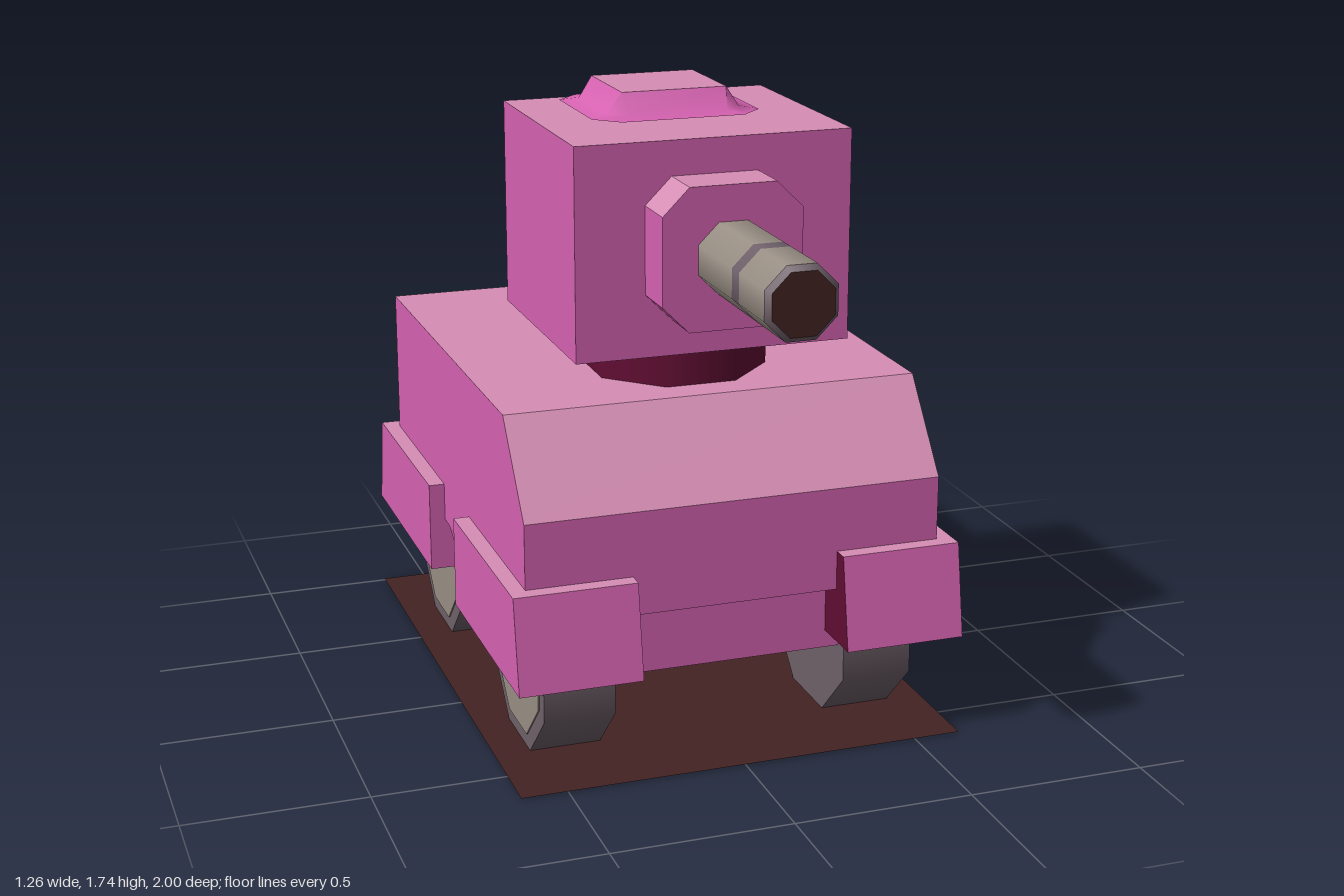
import * as THREE from 'three';

const mat = (name, color) => Object.assign(new THREE.MeshStandardMaterial({ color }), { name });

export function createModel() {
  const root = new THREE.Group();
  root.name = 'toyTank';
  const pink = mat('pink', 0xd662b1), light = mat('lightPink', 0xd78eb5);
  const maroon = mat('maroon', 0x620d33), grey = mat('warmGrey', 0x998f85);
  const dark = mat('darkGrey', 0x70616a), brown = mat('darkBrown', 0x442323);
  brown.side = THREE.DoubleSide;

  const add = (name, geo, material, x = 0, y = 0, z = 0, parent = root) => {
    const m = new THREE.Mesh(geo, material);
    m.name = name;
    m.position.set(x, y, z);
    parent.add(m);
    return m;
  };

  // Assigns one material per triangle according to its facing direction
  const armour = [light, pink, maroon];
  const byHeight = n => (n.y > 0.5 ? 0 : n.y < -0.9 ? 2 : 1);
  const paint = (geo, rule = byHeight) => {
    const g = geo.index ? geo.toNonIndexed() : geo;
    g.clearGroups();
    const p = g.attributes.position, n = new THREE.Vector3();
    const t = new THREE.Triangle();
    for (let i = 0; i < p.count; i += 3) {
      t.setFromAttributeAndIndices(p, i, i + 1, i + 2);
      g.addGroup(i, 3, rule(t.getNormal(n)));
    }
    return g;
  };

  // Prism extruded from a 2D outline, centred on its depth
  const prism = (pts, depth) => {
    const shape = new THREE.Shape(pts.map(p => new THREE.Vector2(...p)));
    return new THREE.ExtrudeGeometry(shape, { depth, bevelEnabled: false }).translate(0, 0, -depth / 2);
  };
  // Eight-sided cylinder with flats facing the axes; sizes are to the flats
  const oct = (top, bottom, h, open = false) => {
    const k = 1 / Math.cos(Math.PI / 8);
    return new THREE.CylinderGeometry(top * k, bottom * k, h, 8, 1, open, Math.PI / 8);
  };
  const box = (w, h, d) => new THREE.BoxGeometry(w, h, d);
  const quads = list => {
    const g = new THREE.BufferGeometry();
    const v = list.flatMap(([a, b, c, d]) => [a, b, c, a, c, d]).flat();
    g.setAttribute('position', new THREE.Float32BufferAttribute(v, 3));
    g.computeVertexNormals();
    return g;
  };

  // Base sheet
  add('base', new THREE.PlaneGeometry(1.26, 1.645).rotateX(-Math.PI / 2), brown, 0, 0.004, -0.178);

  // Hull with sloped nose, and recessed chassis blocks below
  const hull = prism([[0.555, 0.44], [0.555, 0.73], [0.365, 0.97], [-0.9, 0.97], [-0.9, 0.44]], 1.17);
  add('hull', paint(hull.rotateY(-Math.PI / 2)), armour);
  for (const z of [0.25, -0.6]) {
    add('chassis', paint(box(0.66, 0.2, 0.46)), armour, 0, 0.34, z);
    add('axle', oct(0.03, 0.03, 0.8).rotateZ(Math.PI / 2), dark, 0, 0.215, z);
    add('axleHousing', oct(0.05, 0.05, 0.39).rotateZ(Math.PI / 2), dark, 0, 0.2, z);
  }
  add('driveShaft', oct(0.03, 0.03, 0.85).rotateX(Math.PI / 2), dark, 0, 0.215, -0.175);

  // Tapered cross plate under the middle
  const cross = prism([[-0.5, 0.1], [0.5, 0.1], [0.585, 0.44], [-0.585, 0.44]], 0.195);
  add('crossPlate', paint(cross, n => (Math.abs(n.x) > 0.5 ? 1 : 2)), armour, 0, 0, -0.172);

  // Hollow fenders, open at the bottom, with maroon linings
  const fender = (s, z0, z1, z2) => {
    const flip = s * (z1 - z0) < 0;
    const a = 0.29 * s, b = 0.63 * s, lo = 0.29, hi = 0.55;
    const shell = [
      [[a, hi, z1], [b, hi, z1], [b, hi, z0], [a, hi, z0]],
      [[b, lo, z2], [b, lo, z0], [b, hi, z0], [b, hi, z1]],
      [[a, lo, z2], [b, lo, z2], [b, hi, z1], [a, hi, z1]],
      [[b, lo, z0], [a, lo, z0], [a, hi, z0], [b, hi, z0]],
      [[a, lo, z0], [a, lo, z2], [a, hi, z1], [a, hi, z0]],
    ];
    const turn = (list, yes) => (yes ? list.map(q => [...q].reverse()) : list);
    add('fender', paint(quads(turn(shell.slice(0, 4), flip))), armour);
    add('fenderInnerWall', quads(turn(shell.slice(4), flip)), maroon);
    add('fenderLining', quads(turn(shell, !flip)), maroon);
  };

  for (const s of [-1, 1]) {
    fender(s, -0.03, 0.6, 0.645);
    fender(s, -0.32, -0.95, -1);
    // Wheels
    for (const z of [0.265, -0.613]) {
      const wheel = new THREE.Group();
      wheel.name = 'wheel';
      wheel.position.set(0.43 * s, 0.256, z);
      root.add(wheel);
      add('tyre', oct(0.256, 0.256, 0.2).rotateZ(Math.PI / 2), dark, 0, 0, 0, wheel);
      add('wheelDisc', oct(0.212, 0.212, 0.008).rotateZ(Math.PI / 2), grey, 0.1 * s, 0, 0, wheel);
      add('hub', new THREE.CylinderGeometry(0.075, 0.075, 0.009, 16).rotateZ(Math.PI / 2), dark, 0.103 * s, 0, 0, wheel);
    }
  }

  // Turret and its ring
  add('turretRing', oct(0.24, 0.24, 0.13), maroon, 0, 1.03, 0.03);
  add('turret', paint(box(0.77, 0.58, 0.68)), armour, 0, 1.38, 0.03);

  // Gun mount, barrel, band and muzzle
  const c = 0.12, r = 0.193;
  const mount = prism([[-c, -r], [c, -r], [r, -c], [r, c], [c, r], [-c, r], [-r, c], [-r, -c]], 0.15);
  add('gunMount', paint(mount), armour, 0, 1.382, 0.437);
  const tube = (name, top, bottom, z0, z1, m, open = true) =>
    add(name, oct(top, bottom, z1 - z0, open).rotateX(Math.PI / 2), m, 0, 1.382, (z0 + z1) / 2);
  tube('barrelRear', 0.096, 0.096, 0.5, 0.76, grey);
  tube('barrelBand', 0.096, 0.096, 0.76, 0.81, dark);
  tube('barrelFront', 0.096, 0.096, 0.81, 0.985, grey);
  tube('muzzleBevel', 0.082, 0.096, 0.985, 1, dark);
  tube('muzzleHole', 0.082, 0.082, 0.992, 1, brown, false);

  // Hatch: smooth flared skirt built from chamfered rectangles, flat lid
  const rings = [[0.24, 0.22, 0.065, 1.674], [0.19, 0.178, 0.05, 1.683], [0.15, 0.14, 0.002, 1.74]];
  const pos = [], idx = [];
  for (const [w, d, k, y] of rings) {
    for (const [x, z] of [[w, d - k], [w, k - d], [w - k, -d], [k - w, -d], [-w, k - d], [-w, d - k], [k - w, d], [w - k, d]]) {
      pos.push(x, y, z);
    }
  }
  for (let j = 0; j < 2; j++) {
    for (let i = 0; i < 8; i++) {
      const a = j * 8 + i, b = j * 8 + ((i + 1) % 8);
      idx.push(a, b, b + 8, a, b + 8, a + 8);
    }
  }
  const skirt = new THREE.BufferGeometry();
  skirt.setAttribute('position', new THREE.Float32BufferAttribute(pos, 3));
  skirt.setIndex(idx);
  skirt.computeVertexNormals();
  add('hatchSkirt', skirt, pink, 0, 0, -0.097);
  add('hatchLid', new THREE.PlaneGeometry(0.3, 0.28).rotateX(-Math.PI / 2), light, 0, 1.74, -0.097);

  return root;
}
